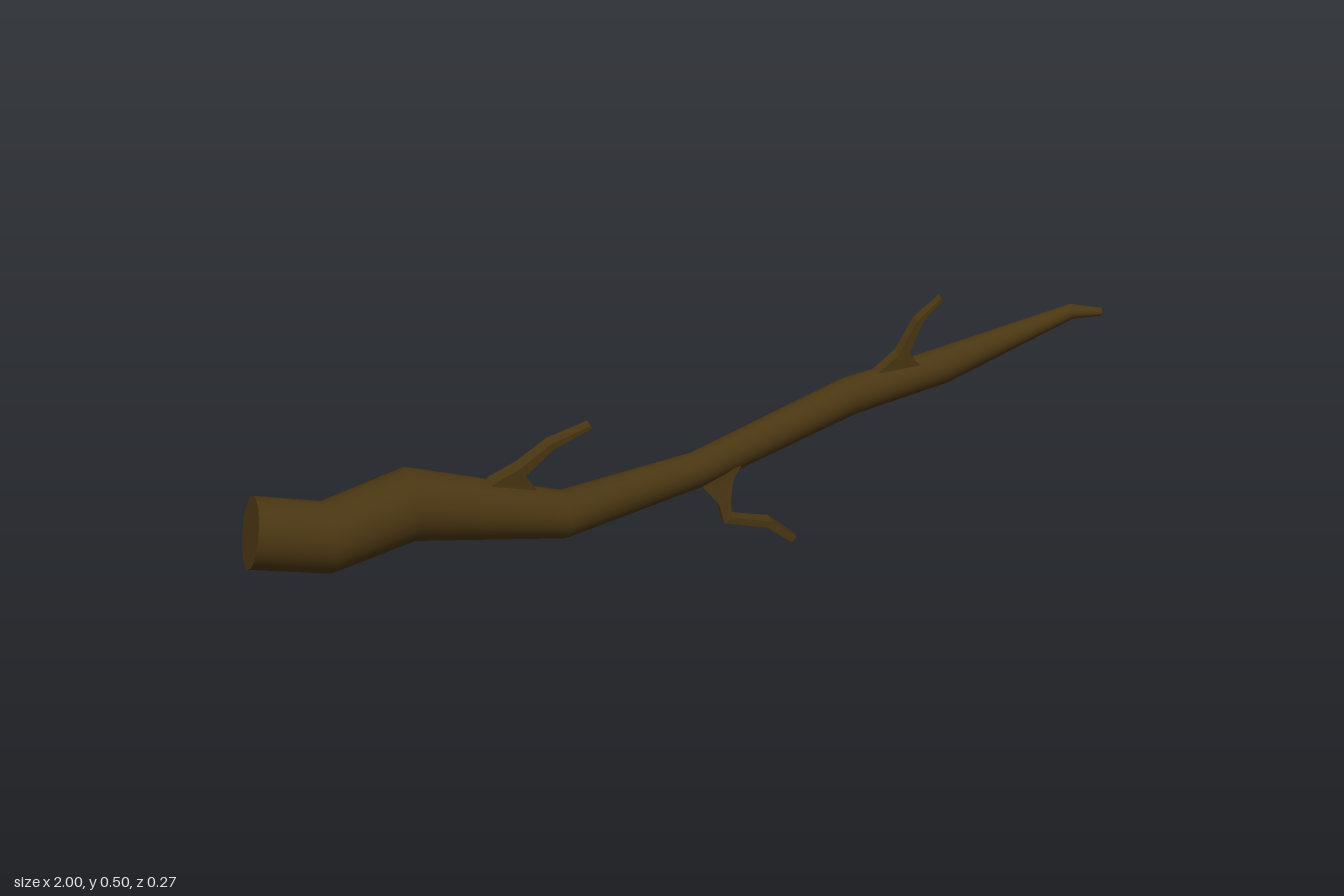
import * as THREE from 'three';

// Skin closed rings of points into a tube with both ends capped.
function loft(rings, smooth) {
  const n = rings[0].length, pos = [], index = [];
  rings.forEach(r => r.forEach(p => pos.push(p.x, p.y, p.z)));
  for (let i = 0; i < rings.length - 1; i++) {
    for (let j = 0; j < n; j++) {
      const a = i * n + j, b = i * n + (j + 1) % n;
      index.push(a, b, a + n, b, b + n, a + n);
    }
  }
  // End caps use their own vertices so the rims stay sharp.
  [rings[0], rings[rings.length - 1]].forEach((r, end) => {
    const s = pos.length / 3;
    r.forEach(p => pos.push(p.x, p.y, p.z));
    for (let j = 1; j < n - 1; j++) {
      if (end) index.push(s, s + j, s + j + 1);
      else index.push(s, s + j + 1, s + j);
    }
  });
  let g = new THREE.BufferGeometry();
  g.setAttribute('position', new THREE.Float32BufferAttribute(pos, 3));
  g.setIndex(index);
  if (!smooth) g = g.toNonIndexed();
  g.computeVertexNormals();
  return g;
}

// Round rings, each mitred between the neighbouring segments: [x, y, z, radius].
function limbRings(stations, sides) {
  const c = stations.map(s => new THREE.Vector3(s[0], s[1], s[2]));
  return c.map((p, i) => {
    const into = p.clone().sub(c[Math.max(i - 1, 0)]).normalize();
    const out = c[Math.min(i + 1, c.length - 1)].clone().sub(p).normalize();
    const t = into.add(out).normalize();
    const side = new THREE.Vector3().crossVectors(t, new THREE.Vector3(0, 1, 0)).normalize();
    const up = new THREE.Vector3().crossVectors(side, t);
    return Array.from({ length: sides }, (_, j) => {
      const a = -j / sides * Math.PI * 2, r = stations[i][3];
      return p.clone().addScaledVector(side, -Math.cos(a) * r).addScaledVector(up, -Math.sin(a) * r);
    }).reverse();
  });
}

// Four-cornered rings: [left x, left y, right x, right y, z, half depth].
function twigRings(sections) {
  return sections.map(([ax, ay, bx, by, z, h]) => [
    new THREE.Vector3(ax, ay, z - h), new THREE.Vector3(ax, ay, z + h),
    new THREE.Vector3(bx, by, z + h), new THREE.Vector3(bx, by, z - h)
  ]);
}

export function createModel() {
  const group = new THREE.Group();
  group.name = 'branch';
  const bark = new THREE.MeshStandardMaterial({ color: 0x4a3612, side: THREE.DoubleSide });
  const add = (name, geometry) => {
    const mesh = new THREE.Mesh(geometry, bark);
    mesh.name = name;
    group.add(mesh);
  };

  // Crooked main limb, thick at the cut end and tapering to the tip
  add('mainLimb', loft(limbRings([
    [-0.987, 0.185, 0.032, 0.082],
    [-0.82, 0.16, 0.05, 0.081],
    [-0.62, 0.202, 0.021, 0.083],
    [-0.28, 0.148, 0.055, 0.054],
    [0.045, 0.186, -0.006, 0.04],
    [0.41, 0.285, -0.073, 0.042],
    [0.63, 0.318, -0.1, 0.04],
    [0.93, 0.409, -0.104, 0.017],
    [0.997, 0.403, -0.096, 0.009]
  ], 20), true));

  // Twig on the upper side near the thick end
  add('upperThickEndTwig', loft(twigRings([
    [-0.46, 0.215, -0.32, 0.19, 0.04, 0.022],
    [-0.44, 0.243, -0.345, 0.222, 0.04, 0.021],
    [-0.378, 0.274, -0.372, 0.25, 0.043, 0.02],
    [-0.31, 0.324, -0.3, 0.312, 0.046, 0.018],
    [-0.217, 0.356, -0.215, 0.349, 0.047, 0.015]
  ]), false));

  // Bent twig hanging below the middle
  add('lowerTwig', loft(twigRings([
    [0.04, 0.18, 0.14, 0.19, 0.004, 0.012],
    [0.05, 0.155, 0.122, 0.162, 0.005, 0.013],
    [0.088, 0.108, 0.114, 0.115, 0.01, 0.015],
    [0.098, 0.064, 0.115, 0.076, 0.014, 0.016],
    [0.195, 0.042, 0.208, 0.054, 0.012, 0.019],
    [0.251, 0, 0.262, 0.012, 0.021, 0.013]
  ]), false));

  // Twig on the upper side near the tip
  add('upperTipTwig', loft(twigRings([
    [0.46, 0.315, 0.59, 0.325, -0.083, 0.016],
    [0.48, 0.336, 0.567, 0.348, -0.083, 0.016],
    [0.525, 0.372, 0.55, 0.372, -0.083, 0.0155],
    [0.567, 0.447, 0.58, 0.442, -0.083, 0.014],
    [0.624, 0.495, 0.628, 0.491, -0.082, 0.011]
  ]), false));

  return group;
}
